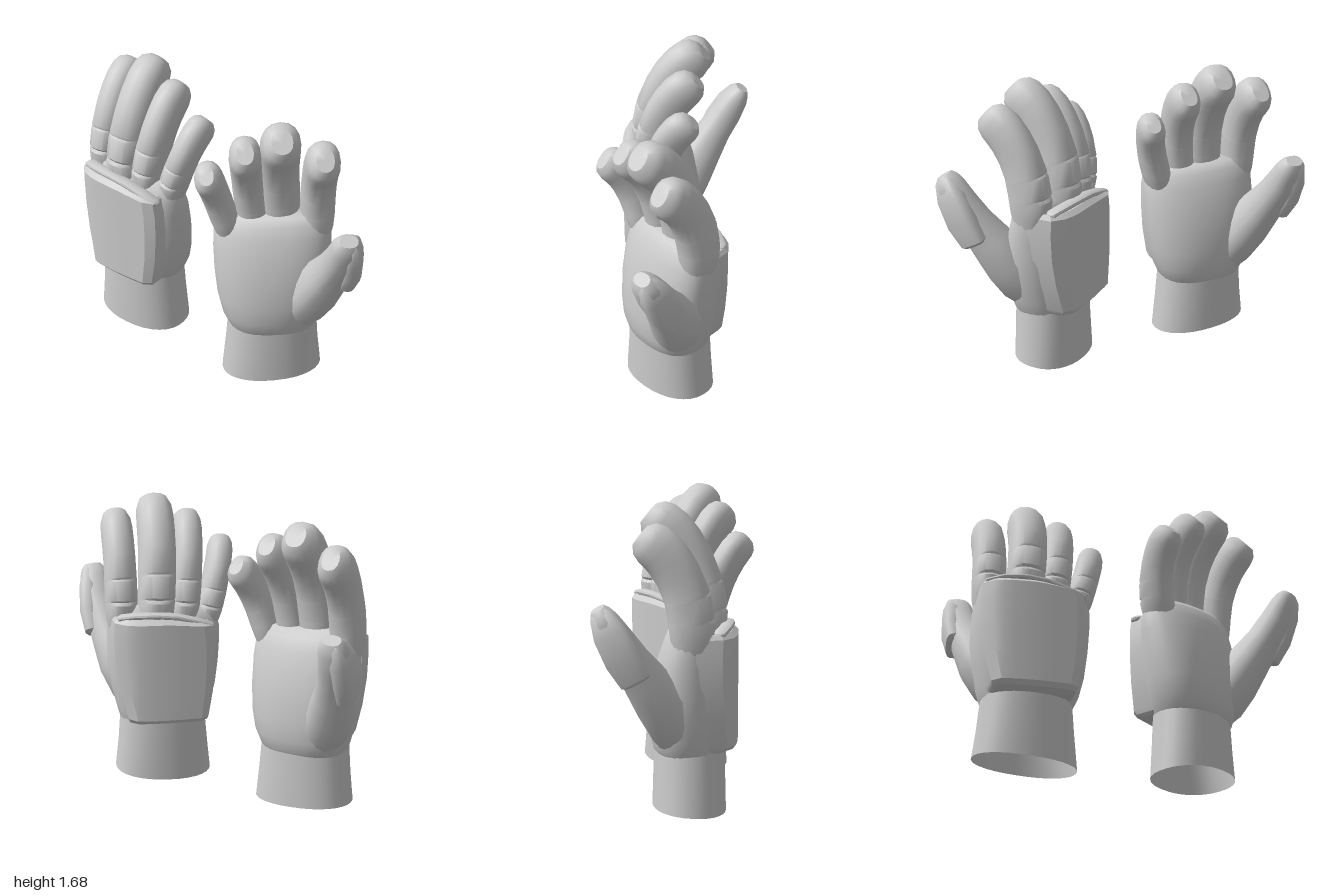
import * as THREE from 'three';
import { toCreasedNormals } from 'three/addons/utils/BufferGeometryUtils.js';

const V = (x, y, z) => new THREE.Vector3(x, y, z);
const material = new THREE.MeshStandardMaterial({ color: 0xcccccc, side: THREE.DoubleSide });

// Skins a row of equal rings; rings run counter-clockwise seen from the end
function loft(name, rings, capped = true, crease = 0.7) {
  const n = rings[0].length, pos = [], index = [];
  rings.forEach(r => r.forEach(p => pos.push(p.x, p.y, p.z)));
  for (let i = 0; i < rings.length - 1; i++) for (let j = 0; j < n; j++) {
    const a = i * n + j, b = i * n + (j + 1) % n;
    index.push(a, b, b + n, a, b + n, a + n);
  }
  const cap = (row, flip) => {
    const c = V(0, 0, 0), k = pos.length / 3;
    rings[row].forEach(p => c.addScaledVector(p, 1 / n));
    pos.push(c.x, c.y, c.z);
    for (let j = 0; j < n; j++) {
      const a = row * n + j, b = row * n + (j + 1) % n;
      index.push(k, flip ? b : a, flip ? a : b);
    }
  };
  if (capped) {
    cap(0, true);
    cap(rings.length - 1, false);
  }
  const g = new THREE.BufferGeometry();
  g.setAttribute('position', new THREE.Float32BufferAttribute(pos, 3));
  g.setIndex(index);
  const mesh = new THREE.Mesh(toCreasedNormals(g, crease), material);
  mesh.name = name;
  return mesh;
}

// Rounded-square outline: power 2 is an ellipse, larger is boxier
function oval(a, b, power, sides) {
  return Array.from({ length: sides }, (_, j) => {
    const t = (j / sides) * Math.PI * 2, c = Math.cos(t), s = Math.sin(t), e = 2 / power;
    return [a * Math.sign(c) * Math.abs(c) ** e, b * Math.sign(s) * Math.abs(s) ** e];
  });
}

// Sweeps an oval along a curve; profile holds [t, width, depth, scale of the back half]
function sweep(name, points, profile, power = 2.3, sides = 16, side = V(1, 0, 0)) {
  const curve = new THREE.CatmullRomCurve3(points);
  return loft(name, profile.map(([t, a, b, back = 1]) => {
    const c = curve.getPointAt(t), d = curve.getTangentAt(t);
    const u = side.clone().addScaledVector(d, -side.dot(d)).normalize();
    const v = d.clone().cross(u);
    return oval(a, b, power, sides).map(([p, q]) =>
      c.clone().addScaledVector(u, p).addScaledVector(v, q < 0 ? q * back : q));
  }));
}

function createGlove(name) {
  const glove = new THREE.Group();
  glove.name = name;

  // Open cuff with a slanted rim
  const cuff = [[0.025, 0.287, 0.2], [0.2, 0.268, 0.195], [0.42, 0.25, 0.19]];
  glove.add(loft('wristCuff', cuff.map(([y, a, b], i) =>
    oval(a, b, 2.2, 32).map(([p, q]) => V(p, i ? y : y - 0.06 * p + 0.07 * q, -q))), false));

  // Palm: [y, left, right, palm side, back side]
  const palm = [
    [0.34, -0.24, 0.24, -0.18, 0.17], [0.37, -0.256, 0.258, -0.197, 0.18],
    [0.44, -0.275, 0.29, -0.212, 0.19], [0.55, -0.3, 0.315, -0.215, 0.2],
    [0.7, -0.32, 0.33, -0.2, 0.2], [0.85, -0.32, 0.335, -0.17, 0.19],
    [0.95, -0.315, 0.33, -0.135, 0.18], [1.02, -0.3, 0.31, -0.105, 0.16],
    [1.06, -0.26, 0.27, -0.07, 0.12]];
  glove.add(loft('palm', palm.map(([y, l, r, f, k]) =>
    oval((r - l) / 2, (k - f) / 2, 2.3, 32).map(([p, q]) => {
      const x = (l + r) / 2 + p;
      return V(x, y - Math.max(0, y - 0.8) * x * 0.3, (f + k) / 2 - q + 0.2 * (y - 0.35) * x);
    })), true, 1.2));

  // Fingers: base x, z; tip x, y, z; half width, half depth
  const shape = [[0, 0.75], [0.12, 0.95], [0.24, 1.02], [0.26, 1.02, 0.9], [0.275, 1.02],
    [0.41, 1.02], [0.425, 1.02, 0.93], [0.44, 1.01], [0.6, 1], [0.72, 1], [0.82, 1],
    [0.9, 0.96], [0.96, 0.82], [1, 0.52]];
  const fingers = {
    indexFinger: [-0.24, 0, -0.225, 1.535, -0.265, 0.093, 0.12],
    middleFinger: [-0.05, 0.075, -0.005, 1.625, -0.215, 0.109, 0.125],
    ringFinger: [0.1, 0.075, 0.182, 1.54, -0.17, 0.088, 0.114],
    littleFinger: [0.237, 0.045, 0.382, 1.39, -0.13, 0.077, 0.1]
  };
  for (const [part, [bx, bz, tx, ty, tz, a, b]] of Object.entries(fingers)) {
    const at = (f, z) => V(bx + (tx - bx) * f, 0.9 + (ty - 0.9) * f, bz + (tz - bz) * z);
    glove.add(sweep(part, [at(0, 0), at(0.3, 0.01), at(0.58, 0.17), at(0.84, 0.54), at(1, 1)],
      shape.map(([t, s, back]) => [t, a * s, b * s, back])));
  }

  // Thumb with its outer guard
  glove.add(sweep('thumb',
    [V(-0.11, 0.4, -0.05), V(-0.2, 0.6, -0.13), V(-0.275, 0.82, -0.265), V(-0.32, 1, -0.385), V(-0.33, 1.175, -0.485)],
    [[0, 0.08, 0.1], [0.15, 0.13, 0.135], [0.32, 0.135, 0.14], [0.5, 0.115, 0.12], [0.65, 0.1, 0.1],
      [0.8, 0.095, 0.092], [0.92, 0.085, 0.075], [0.97, 0.072, 0.058], [1, 0.05, 0.038]]));
  glove.add(sweep('thumbGuard', [V(-0.36, 0.8, -0.285), V(-0.375, 0.95, -0.37), V(-0.355, 1.165, -0.48)],
    [[0, 0.035, 0.07], [0.04, 0.052, 0.09], [0.35, 0.058, 0.1], [0.7, 0.055, 0.09], [0.94, 0.04, 0.06], [1, 0.02, 0.04]],
    3, 16, V(1, 0, 0.15)));

  // Curved guard over the back of the hand: [y, left, right, outward scale]
  const front = x => 0.265 - 0.38 * Math.max(0, 0.08 - x) ** 2 - 0.2 * Math.max(0, -0.18 - x);
  const guard = [[0.375, -0.21, 0.21, 0.72], [0.39, -0.225, 0.225, 0.9], [0.415, -0.235, 0.232, 1],
    [0.58, -0.275, 0.26, 1], [0.75, -0.3, 0.272, 1], [0.9, -0.305, 0.27, 1], [1, -0.3, 0.255, 1], [1.025, -0.285, 0.24, 0.86]];
  glove.add(loft('backGuard', guard.map(([y, l, r, s], i) => {
    const back = x => 0.05 + 0.12 * x;
    const ring = [V(r + 0.01, y, back(r)), V(l - 0.01, y, back(l))];
    for (let j = 0; j <= 10; j++) {
      const x = l + (r - l) * j / 10, edge = j === 0 || j === 10 ? 0.03 : 0;
      ring.push(V(x, y, back(x) + (front(x) - edge - back(x)) * s));
    }
    // The upper edge drops toward the little finger
    ring.forEach(p => { if (i > 4) p.y -= Math.max(0, p.x) * 0.16 * (i - 4) / 3; });
    return ring;
  }), true, 0.45));

  // Thin ridge along the knuckles
  glove.add(sweep('knuckleRidge', [V(-0.28, 1.02, 0.13), V(-0.14, 1.045, 0.19), V(0.06, 1.03, 0.21), V(0.275, 0.96, 0.2)],
    [0, 0.03, 0.2, 0.4, 0.6, 0.8, 0.97, 1].map(t => [t, t % 1 ? 0.018 : 0.008, t % 1 ? 0.035 : 0.015]),
    2.5, 12, V(0, 1, 0)));
  return glove;
}

export function createModel() {
  const model = new THREE.Group();
  model.name = 'glovePair';
  // One glove shows its back, the other its palm
  const backFacing = createGlove('backFacingGlove');
  backFacing.position.set(-0.575, 0, 0.05);
  const palmFacing = createGlove('palmFacingGlove');
  palmFacing.position.set(0.37, 0, 0.085);
  palmFacing.rotation.y = THREE.MathUtils.degToRad(-141);
  model.add(backFacing, palmFacing);
  return model;
}
